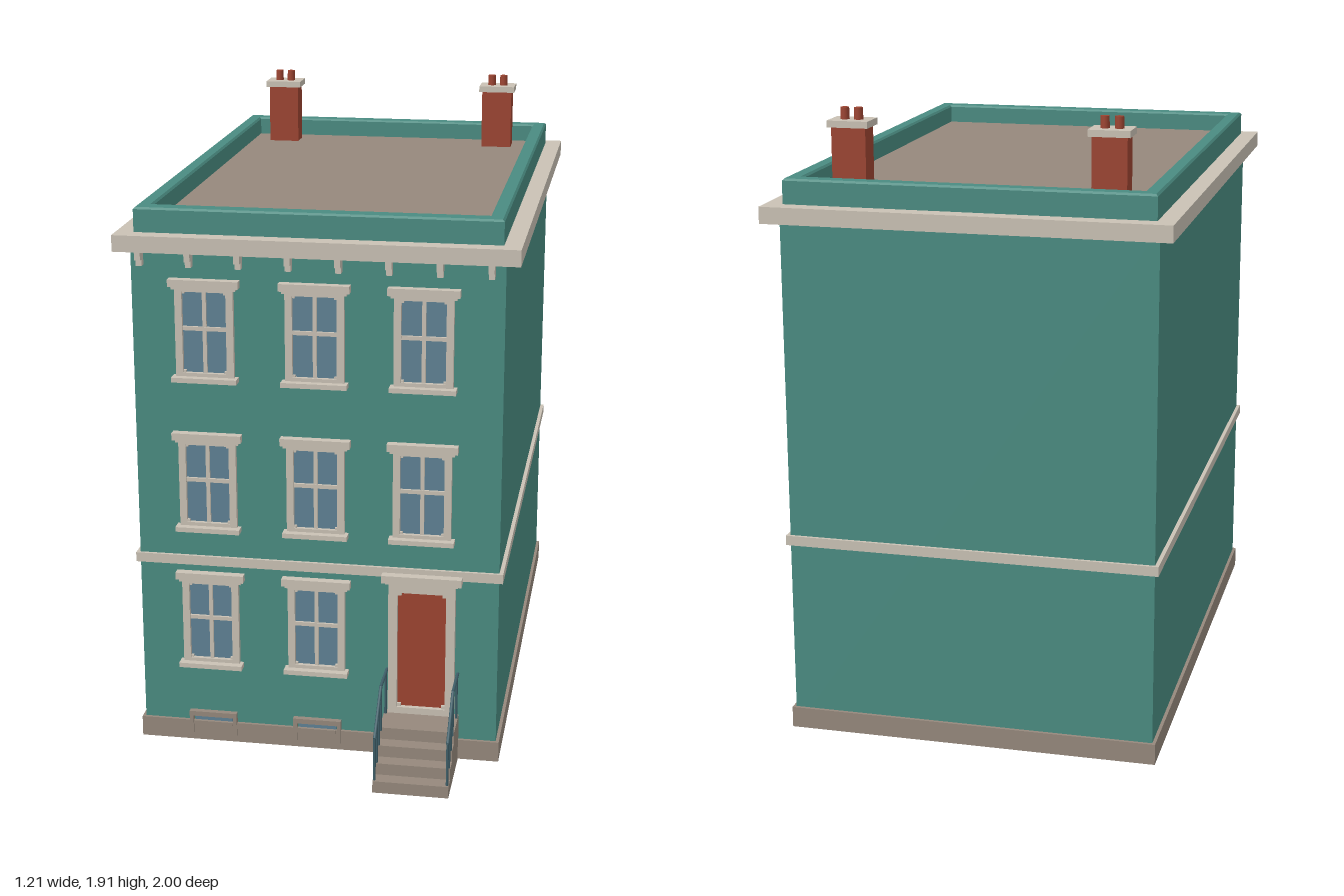
import * as THREE from 'three';

const mat = (name, color) => Object.assign(new THREE.MeshStandardMaterial({ color }), { name });

export function createModel() {
  const teal = mat('teal wall', 0x4a8b81), cream = mat('cream trim', 0xc9c1b4);
  const stone = mat('brown stone', 0x95887c), red = mat('brick red', 0x9c4431);
  const glass = mat('blue glass', 0x5f8194), iron = mat('dark iron', 0x3f5f69);
  const house = new THREE.Group();
  house.name = 'townhouse';

  // Box given by its lower and upper limits on each axis
  function block(parent, name, m, x0, x1, y0, y1, z0, z1) {
    const mesh = new THREE.Mesh(new THREE.BoxGeometry(x1 - x0, y1 - y0, z1 - z0), m);
    mesh.position.set((x0 + x1) / 2, (y0 + y1) / 2, (z0 + z1) / 2);
    mesh.name = name;
    parent.add(mesh);
    return mesh;
  }
  function group(name, x = 0, y = 0, z = 0) {
    const g = new THREE.Group();
    g.name = name;
    g.position.set(x, y, z);
    house.add(g);
    return g;
  }
  const rect = (s, x, z0, z1) => s.moveTo(-x, -z1).lineTo(x, -z1).lineTo(x, -z0).lineTo(-x, -z0).closePath();
  const FRONT = 0.738, BACK = -0.952;

  // Main body, plinth, string course and cornice
  block(house, 'walls', teal, -0.56, 0.56, 0, 1.62, BACK, FRONT);
  block(house, 'plinth', stone, -0.57, 0.57, 0.002, 0.067, BACK - 0.01, FRONT + 0.01);
  block(house, 'bottom', teal, -0.56, 0.56, 0, 0.004, BACK, FRONT);
  block(house, 'stringCourse', cream, -0.572, 0.572, 0.6, 0.63, BACK - 0.01, FRONT + 0.01);
  block(house, 'cornice', cream, -0.605, 0.605, 1.595, 1.645, -1, 0.78);
  block(house, 'roof', stone, -0.51, 0.51, 1.64, 1.66, -0.9, 0.675);

  // Parapet: a bevelled ring round the roof
  const ring = rect(new THREE.Shape(), 0.545, -0.94, 0.722);
  ring.holes.push(rect(new THREE.Path(), 0.511, -0.901, 0.677));
  const parapet = new THREE.Mesh(new THREE.ExtrudeGeometry(ring, {
    depth: 0.075, bevelSize: 0.006, bevelThickness: 0.006, bevelSegments: 1,
  }), teal);
  parapet.rotation.x = -Math.PI / 2;
  parapet.position.y = 1.639;
  parapet.name = 'parapet';
  house.add(parapet);

  // Brackets under the cornice
  for (let i = 0; i < 8; i++) {
    const x = -0.53 + i * 0.15;
    block(house, 'bracket', cream, x - 0.009, x + 0.009, 1.57, 1.597, FRONT - 0.01, 0.775);
    block(house, 'bracketFoot', cream, x - 0.009, x + 0.009, 1.55, 1.57, FRONT - 0.01, 0.76);
  }

  // Sash windows; the ground floor leaves a bay for the door
  const columns = [-0.337, -0.003, 0.323];
  [0.262, 0.718, 1.198].forEach((y, row) => columns.forEach((x, col) => {
    if (row === 0 && col === 2) return;
    const w = group('window', x, y, FRONT);
    block(w, 'pane', glass, -0.07, 0.07, 0.02, 0.28, -0.005, 0.003);
    for (const s of [-1, 1]) {
      block(w, 'jamb', cream, s * 0.078 - 0.011, s * 0.078 + 0.011, 0.012, 0.285, -0.01, 0.016);
      // Small corner pieces round off the opening
      for (const cy of [0.028, 0.275])
        block(w, 'cornerPiece', cream, s * 0.064 - 0.005, s * 0.064 + 0.005, cy - 0.005, cy + 0.005, -0.01, 0.012);
    }
    block(w, 'head', cream, -0.089, 0.089, 0.277, 0.292, -0.01, 0.016);
    block(w, 'lowerRail', cream, -0.089, 0.089, 0.012, 0.026, -0.01, 0.016);
    block(w, 'mullion', cream, -0.006, 0.006, 0.02, 0.28, -0.01, 0.01);
    block(w, 'transom', cream, -0.07, 0.07, 0.157, 0.169, -0.01, 0.011);
    block(w, 'lintel', cream, -0.098, 0.098, 0.284, 0.296, -0.01, 0.021);
    block(w, 'lintelTop', cream, -0.107, 0.107, 0.292, 0.315, -0.01, 0.027);
    block(w, 'sill', cream, -0.1, 0.1, 0, 0.015, -0.01, 0.038);
  }));

  // Cellar windows at the foot of the front
  for (const x of columns.slice(0, 2)) {
    const w = group('cellarWindow', x, 0, FRONT);
    block(w, 'cellarPane', glass, -0.06, 0.06, 0.067, 0.088, -0.005, 0.004);
    block(w, 'cellarLintel', stone, -0.076, 0.076, 0.086, 0.102, -0.01, 0.018);
    block(w, 'cellarSill', stone, -0.06, 0.06, 0.056, 0.068, -0.01, 0.014);
    for (const s of [-1, 1])
      block(w, 'cellarJamb', stone, s * 0.07 - 0.006, s * 0.07 + 0.006, 0.025, 0.09, -0.01, 0.016);
  }

  // Front door with its surround and hood
  const door = group('frontDoor', 0.326, 0, FRONT);
  block(door, 'doorLeaf', red, -0.08, 0.08, 0.15, 0.57, -0.005, 0.007);
  for (const s of [-1, 1]) {
    block(door, 'doorJamb', cream, s * 0.089 - 0.014, s * 0.089 + 0.014, 0.15, 0.585, -0.01, 0.022);
    for (const y of [0.175, 0.55])
      block(door, 'doorCorner', cream, s * 0.07 - 0.007, s * 0.07 + 0.007, y - 0.006, y + 0.006, -0.01, 0.016);
  }
  block(door, 'doorHead', cream, -0.103, 0.103, 0.555, 0.587, -0.01, 0.022);
  block(door, 'threshold', cream, -0.103, 0.103, 0.148, 0.171, -0.01, 0.022);
  block(door, 'hoodBase', cream, -0.112, 0.112, 0.583, 0.594, -0.01, 0.028);
  block(door, 'hood', cream, -0.123, 0.123, 0.59, 0.614, -0.01, 0.038);

  // Front steps, each block reaching back to the wall
  [[0.15, 0.865], [0.112, 0.91], [0.075, 0.955], [0.038, 1]].forEach(([y, z]) =>
    block(house, 'step', stone, 0.212, 0.443, 0, y, 0.73, z));

  // Handrails with balusters on both sides of the steps
  function bar(parent, name, a, b, r) {
    const p = new THREE.Vector3(0, ...a), q = new THREE.Vector3(0, ...b);
    const mesh = new THREE.Mesh(new THREE.CylinderGeometry(r, r, p.distanceTo(q), 8), iron);
    mesh.position.copy(p).add(q).multiplyScalar(0.5);
    mesh.quaternion.setFromUnitVectors(new THREE.Vector3(0, 1, 0), q.sub(p).normalize());
    mesh.name = name;
    parent.add(mesh);
  }
  for (const x of [0.217, 0.438]) {
    const r = group('railing', x);
    bar(r, 'slopingRail', [0.176, 0.99], [0.288, 0.865], 0.005);
    bar(r, 'levelRail', [0.288, 0.867], [0.288, 0.735], 0.005);
    [[0.03, 0.176, 0.99], [0.07, 0.214, 0.948], [0.11, 0.251, 0.906], [0.14, 0.288, 0.865], [0.14, 0.288, 0.765]]
      .forEach(([y0, y1, z]) => bar(r, 'baluster', [y0, z], [y1, z], 0.004));
  }

  // Chimneys with caps and paired pots
  for (const x of [-0.39, 0.385]) {
    const c = group('chimney', x, 0, -0.795);
    block(c, 'stack', red, -0.052, 0.052, 1.65, 1.86, -0.037, 0.037);
    block(c, 'cap', cream, -0.062, 0.062, 1.857, 1.877, -0.048, 0.048);
    for (const s of [-1, 1]) {
      const pot = new THREE.Mesh(new THREE.CylinderGeometry(0.013, 0.014, 0.04, 12), red);
      pot.position.set(s * 0.021, 1.892, 0);
      pot.name = 'chimneyPot';
      c.add(pot);
    }
  }
  return house;
}
